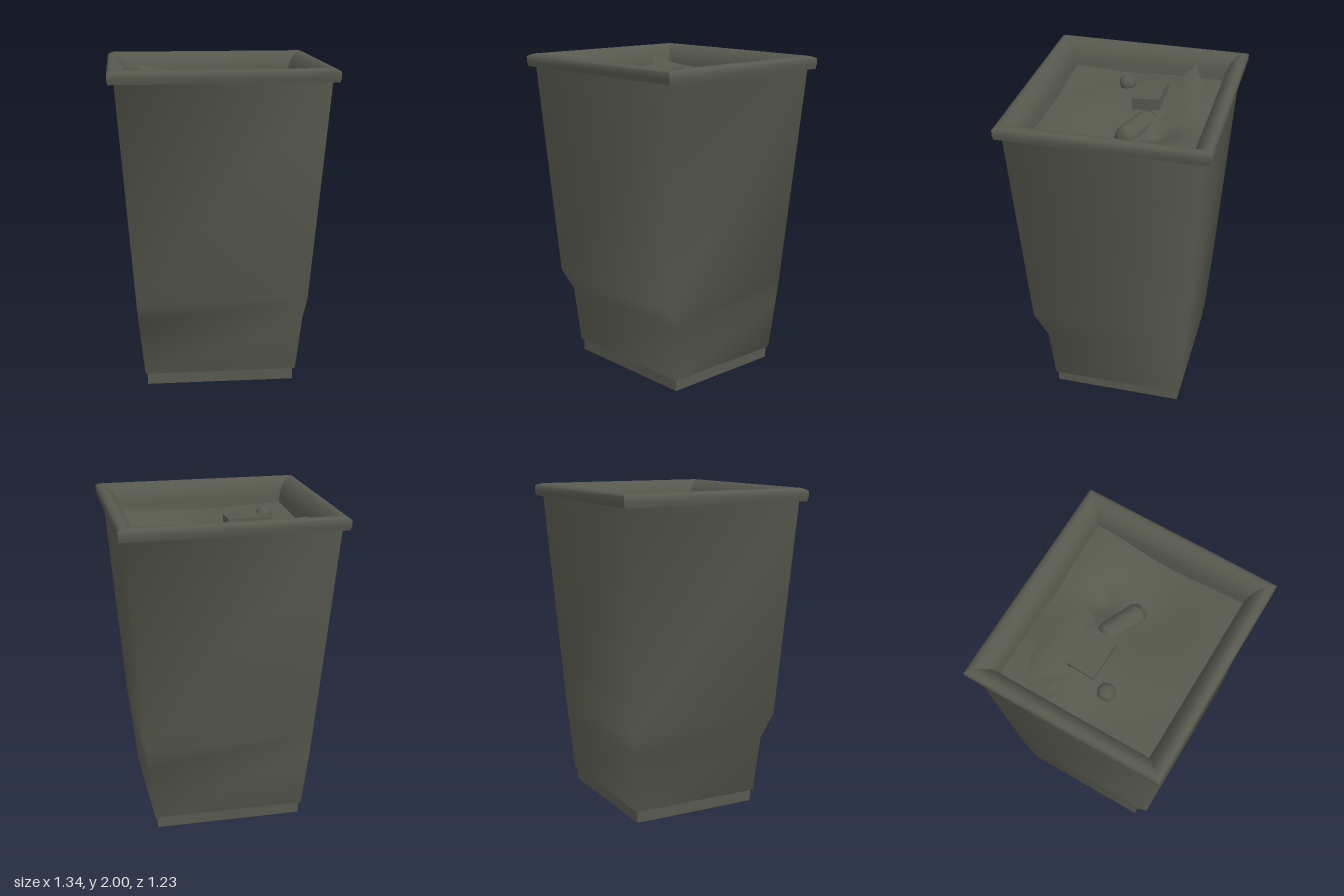
import * as THREE from 'three';

const binGrey = new THREE.MeshStandardMaterial({ color: 0x57594e, side: THREE.DoubleSide });
binGrey.name = 'binGrey';

function part(group, name, geometry) {
  const mesh = new THREE.Mesh(geometry, binGrey);
  mesh.name = name;
  group.add(mesh);
  return mesh;
}

// Skin over stacked rectangles [halfWidth, y, backZ, frontZ]; corners are shared (soft) or split (sharp)
function loft(rings, sharp) {
  const pos = [], index = [];
  const n = sharp ? 8 : 4;
  for (const [w, y, b, f] of rings) {
    const c = [[-w, y, f], [w, y, f], [w, y, b], [-w, y, b]];
    for (let s = 0; s < 4; s++) {
      pos.push(...c[s]);
      if (sharp) pos.push(...c[(s + 1) % 4]);
    }
  }
  for (let r = 0; r < rings.length - 1; r++) {
    for (let s = 0; s < 4; s++) {
      const i = sharp ? 2 * s : s, j = sharp ? 2 * s + 1 : (s + 1) % 4;
      const a = r * n + i, b = r * n + j;
      index.push(a, b, b + n, a, b + n, a + n);
    }
  }
  const g = new THREE.BufferGeometry();
  g.setAttribute('position', new THREE.Float32BufferAttribute(pos, 3));
  g.setIndex(index);
  g.computeVertexNormals();
  return g;
}

// Crumpled sheet: a centre point joined to an outline that runs counterclockwise from above
function sheet(centre, outline) {
  const index = outline.map((p, i) => [0, i + 1, ((i + 1) % outline.length) + 1]).flat();
  const g = new THREE.BufferGeometry();
  g.setAttribute('position', new THREE.Float32BufferAttribute([centre, ...outline].flat(), 3));
  g.setIndex(index);
  g.computeVertexNormals();
  return g;
}

// Height of the heaped rubbish
function heapHeight(x, z) {
  const bump = (cx, cz, r, h) => h * Math.exp(-((x - cx) ** 2 + (z - cz) ** 2) / (r * r));
  return 1.835 + 0.012 * Math.sin(5 * x + 2) * Math.cos(6 * z)
    + bump(0.45, -0.42, 0.2, 0.03) + bump(-0.42, -0.1, 0.14, 0.03)
    + bump(-0.2, -0.28, 0.2, 0.03)
    - bump(0.15, -0.22, 0.1, 0.07) - bump(0.2, 0.05, 0.25, 0.07);
}

export function createModel() {
  const bin = new THREE.Group();
  bin.name = 'litterBin';

  // Base plinth
  part(bin, 'base', new THREE.BoxGeometry(0.92, 0.09, 0.81)).position.set(0, 0.045, -0.035);

  // Tapered body with the stepped-in lower front
  part(bin, 'body', loft([
    [0.455, 0.075, -0.435, 0.365],
    [0.475, 0.075, -0.45, 0.382],
    [0.513, 0.43, -0.476, 0.408],
    [0.525, 0.58, -0.487, 0.495],
    [0.63, 1.93, -0.575, 0.575],
  ], false));

  // Rolled rim, running over the top and down the inside
  const rimProfile = [
    [0.6, 1.92], [0.663, 1.92], [0.663, 1.92], [0.67, 1.95], [0.67, 1.982],
    [0.655, 1.992], [0.63, 2.0], [0.6, 1.985], [0.565, 1.945], [0.545, 1.89], [0.53, 1.76],
  ];
  part(bin, 'rim', loft(rimProfile.map(([w, y]) => [w, y, 0.055 - w, w - 0.055]), true));

  // Rubbish heap
  const heap = new THREE.PlaneGeometry(1.08, 0.97, 24, 24).rotateX(-Math.PI / 2);
  const p = heap.attributes.position;
  for (let i = 0; i < p.count; i++) p.setY(i, heapHeight(p.getX(i), p.getZ(i)));
  heap.computeVertexNormals();
  part(bin, 'rubbishHeap', heap);

  // Torn bag and loose paper
  part(bin, 'tornBag', sheet([-0.2, 1.9, -0.28], [
    [-0.51, 1.94, -0.31], [-0.42, 1.89, -0.22], [-0.36, 1.87, -0.16], [-0.31, 1.87, -0.15],
    [-0.18, 1.85, -0.16], [0.03, 1.82, -0.2], [0.06, 1.83, -0.27], [0.06, 1.85, -0.35],
    [-0.03, 1.87, -0.38], [-0.36, 1.89, -0.38],
  ]));
  part(bin, 'loosePaper', sheet([-0.4, 1.88, -0.07], [
    [-0.48, 1.86, -0.2], [-0.5, 1.84, -0.06], [-0.43, 1.84, 0.03],
    [-0.31, 1.87, 0.03], [-0.31, 1.89, -0.15], [-0.38, 1.88, -0.17],
  ]));

  // Carton
  const carton = part(bin, 'carton', new THREE.BoxGeometry(0.26, 0.16, 0.17));
  carton.position.set(-0.18, 1.825, -0.095);
  carton.rotation.set(0.08, -0.02, 0);

  // Bottle with a bevelled end
  const bottle = part(bin, 'bottle', new THREE.LatheGeometry([
    [0, 0], [0.06, 0], [0.065, 0.02], [0.065, 0.25], [0.05, 0.285], [0, 0.29],
  ].map(([x, y]) => new THREE.Vector2(x, y)), 12));
  bottle.position.set(-0.03, 1.79, -0.12);
  bottle.quaternion.setFromUnitVectors(
    new THREE.Vector3(0, 1, 0), new THREE.Vector3(0.26, -0.02, 0.11).normalize());

  // Paper ball
  part(bin, 'paperBall', new THREE.SphereGeometry(0.055, 8, 6)).position.set(-0.33, 1.86, 0.09);

  return bin;
}
